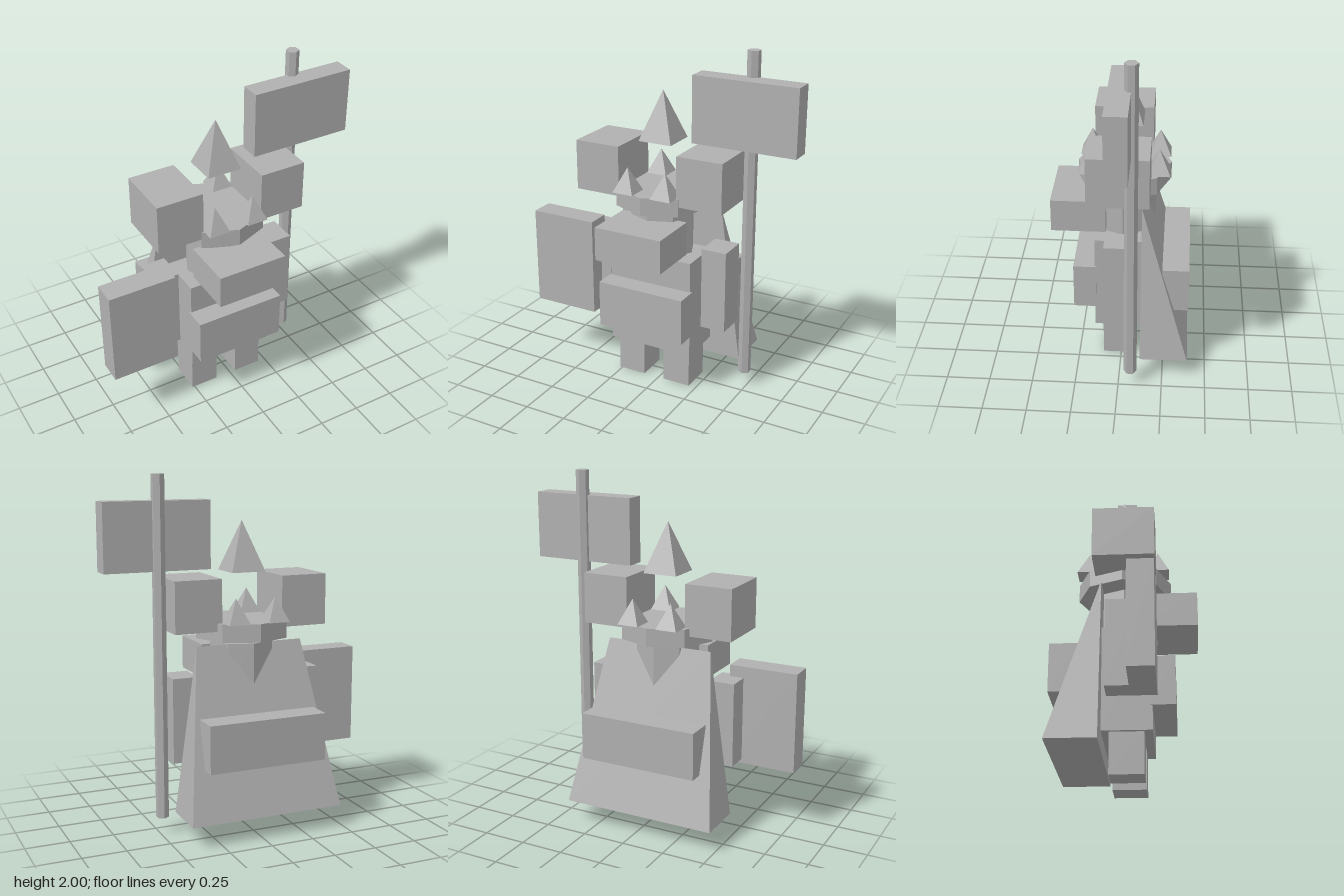
import * as THREE from 'three';

export function createModel() {
  const model = new THREE.Group();
  const stone = new THREE.MeshStandardMaterial({ color: 0xb0b0b0 });
  stone.name = 'plain grey';
  stone.flatShading = true;
  const MID = -0.03; // centre line of the body

  function add(name, geometry, x = 0, y = 0, z = 0) {
    const mesh = new THREE.Mesh(geometry, stone);
    mesh.name = name;
    mesh.position.set(x, y, z);
    model.add(mesh);
    return mesh;
  }
  // box from its extents on each axis
  const box = (name, [x0, x1], [y0, y1], [z0, z1]) =>
    add(name, new THREE.BoxGeometry(x1 - x0, y1 - y0, z1 - z0), (x0 + x1) / 2, (y0 + y1) / 2, (z0 + z1) / 2);
  // upright prism
  const prism = (name, r, sides, y0, y1, x, z) =>
    add(name, new THREE.CylinderGeometry(r, r, y1 - y0, sides), x, (y0 + y1) / 2, z);
  // square pyramid
  const spike = (name, width, y0, y1, x, z) =>
    add(name, new THREE.ConeGeometry(width / Math.SQRT2, y1 - y0, 4).rotateY(Math.PI / 4), x, (y0 + y1) / 2, z);

  // torso
  box('body', [-0.285, 0.229], [0.227, 0.81], [-0.125, 0.15]);
  box('belly', [-0.295, 0.239], [0.36, 0.635], [0.14, 0.273]);
  box('beard', [-0.235, 0.175], [0.835, 1.03], [0.09, 0.4]);

  // limbs and shoulder blocks on both sides
  for (const [side, s] of [['left', 1], ['right', -1]]) {
    const span = (a, b) => [MID + s * a, MID + s * b].sort((p, q) => p - q);
    box(side + 'Leg', span(0.066, 0.234), [0, 0.227], [-0.08, 0.105]);
    box(side + 'Arm', span(0.298, 0.447), [0.4, 0.885], [-0.09, 0.085]);
    box(side + 'Shoulder', span(0.182, 0.456), [1.145, 1.435], [-0.163, 0.175]);
  }

  // head and crown
  prism('head', 0.19, 8, 0.8, 1.067, MID, -0.005).scale.z = 0.95;
  prism('crown', 0.277, 8, 1.088, 1.19, MID, -0.009).scale.z = 0.95;
  for (const x of [-0.147, 0.089])
    for (const z of [0.184, -0.205]) spike('crownSpike', 0.125, 1.19, 1.33, x, z);
  spike('topSpike', 0.202, 1.457, 1.74, MID, -0.013);

  // wedge cloak: a triangular side profile, narrowed toward the top
  const profile = new THREE.Shape([[0.12, 0.127], [0.393, 0.127], [0.12, 1.062]].map(p => new THREE.Vector2(...p)));
  const cloak = new THREE.ExtrudeGeometry(profile, { depth: 2, bevelEnabled: false });
  cloak.translate(0, 0, -1).rotateY(Math.PI / 2); // profile x becomes -z
  const p = cloak.attributes.position;
  for (let i = 0; i < p.count; i++) {
    const t = (p.getY(i) - 0.127) / 0.935;
    p.setX(i, p.getX(i) * THREE.MathUtils.lerp(0.452, 0.318, t));
  }
  cloak.computeVertexNormals();
  add('cloak', cloak, MID);
  box('backPack', [-0.377, 0.317], [0.412, 0.682], [-0.39, -0.238]);

  // shield, and banner on its pole
  box('shield', [-0.793, -0.395], [0.375, 0.952], [0.04, 0.18]);
  prism('pole', 0.037, 6, 0.093, 2, 0.482, -0.069);
  box('banner', [0.18, 0.788], [1.48, 1.858], [-0.069, 0.05]);

  return model;
}
